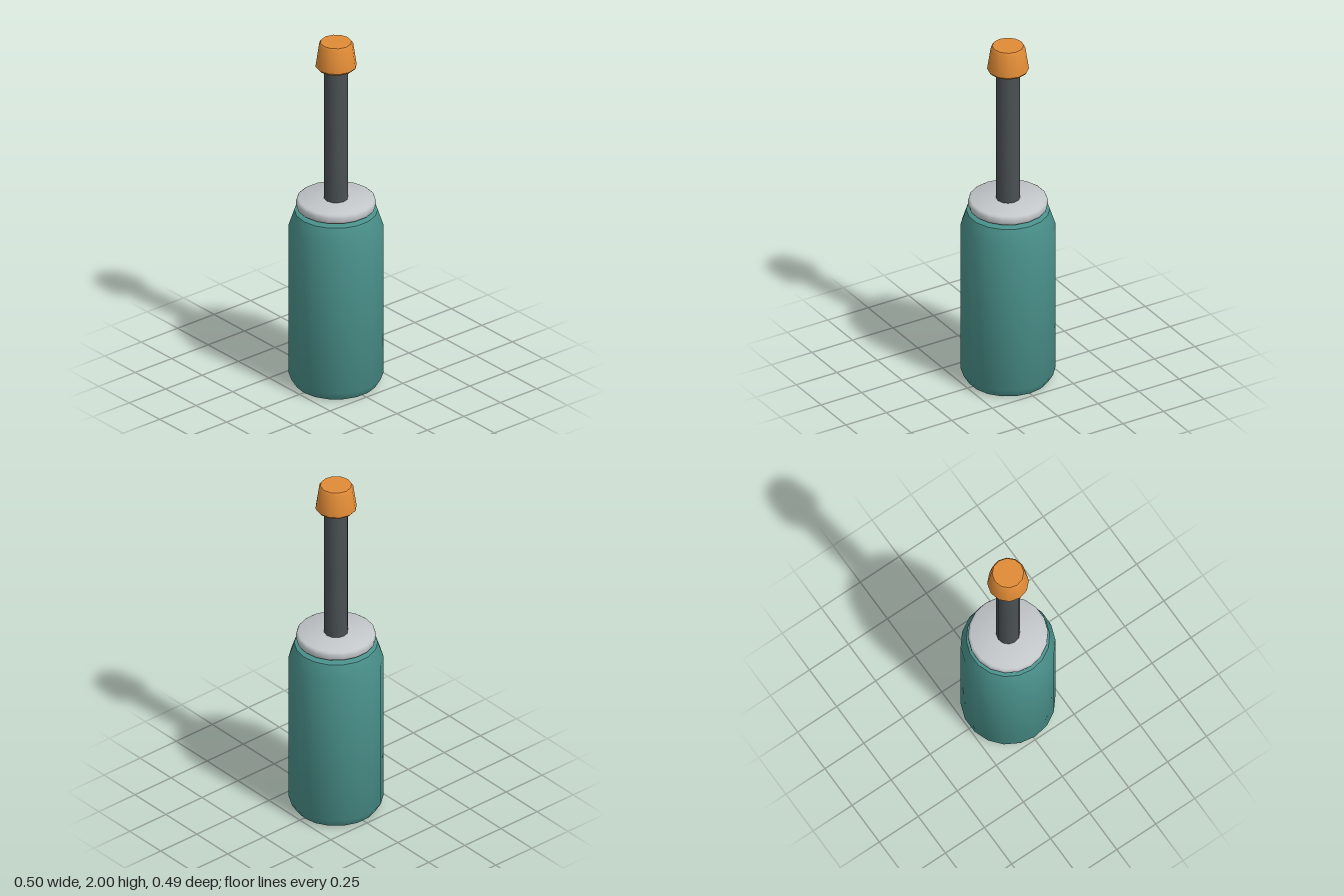
import * as THREE from 'three';
import { toCreasedNormals } from 'three/addons/utils/BufferGeometryUtils.js';

function material(name, color) {
  const m = new THREE.MeshStandardMaterial({ color });
  m.name = name;
  return m;
}

// Turned part from a bottom-to-top [radius, height] profile, with corners on the x axis
function turned(name, profile, sides, mat) {
  const points = profile.map(([r, y]) => new THREE.Vector2(r, y));
  const lathe = new THREE.LatheGeometry(points, sides, Math.PI / 2);
  const mesh = new THREE.Mesh(toCreasedNormals(lathe, THREE.MathUtils.degToRad(42)), mat);
  mesh.name = name;
  return mesh;
}

export function createModel() {
  const teal = material('teal', 0x4a918b);
  const silver = material('silver', 0xc3c7ca);
  const charcoal = material('charcoal', 0x4a5053);
  const orange = material('orange', 0xe08b36);

  const model = new THREE.Group();
  model.name = 'plungerCanister';
  model.add(
    // Canister with bevelled foot, tapered shoulder and shallow sloped lid
    turned('body', [[0, 0], [0.22, 0], [0.25, 0.05], [0.25, 0.92], [0.22, 1.01], [0.14, 1.03], [0, 1.03]], 18, teal),
    // Rounded collar plate
    turned('collar', [[0, 1.025], [0.198, 1.025], [0.207, 1.031], [0.211, 1.042], [0.211, 1.063],
      [0.207, 1.074], [0.198, 1.08], [0, 1.08]], 18, silver),
    // Plunger rod
    turned('rod', [[0.063, 1.05], [0.063, 1.88]], 12, charcoal),
    // Tapered knob
    turned('knob', [[0, 1.85], [0.1, 1.85], [0.11, 1.862], [0.092, 1.985], [0.083, 2], [0, 2]], 12, orange),
  );
  return model;
}
